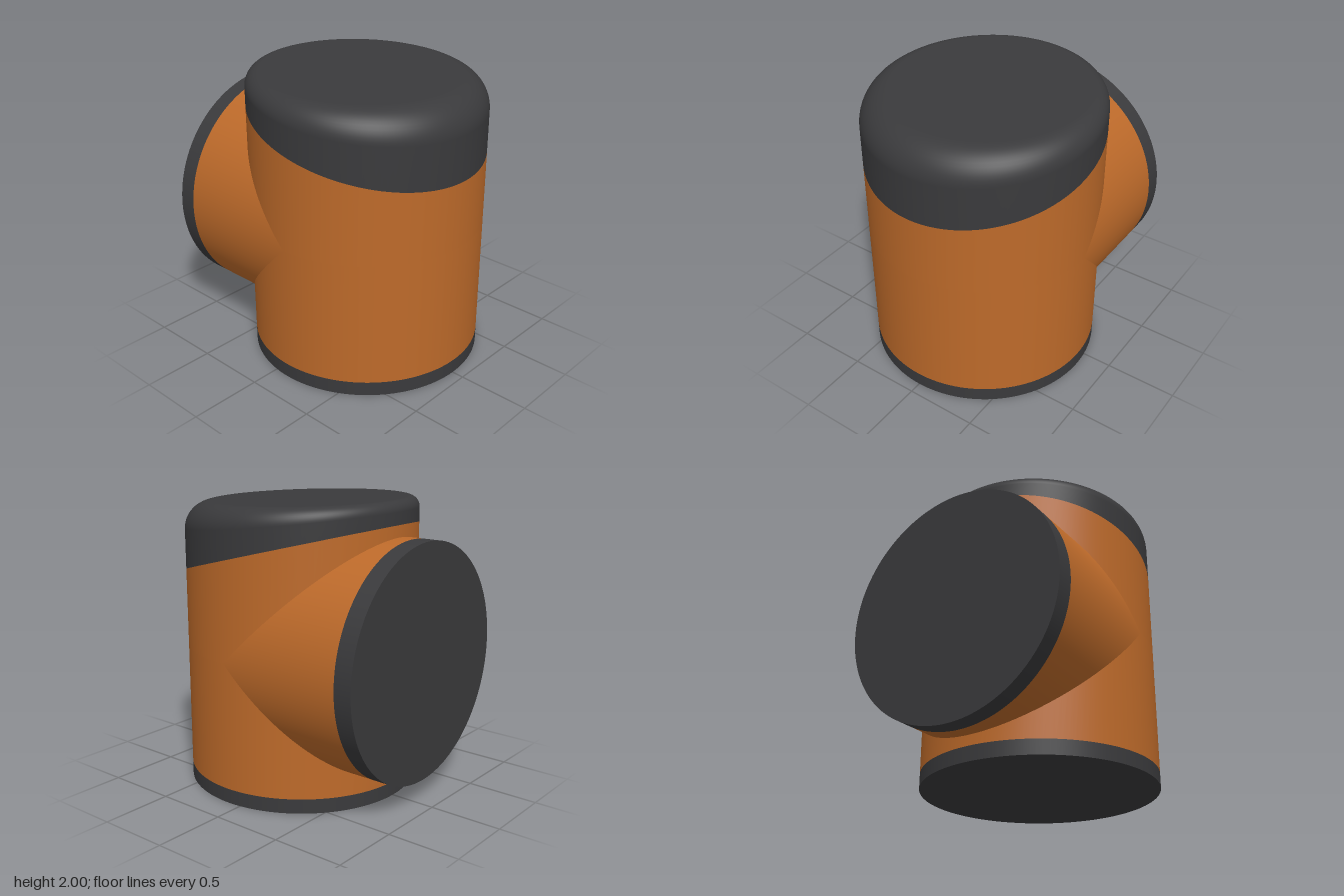
import * as THREE from 'three';

const R = 0.8;        // radius shared by the body and the branch
const CZ = 0.115;     // z of the vertical axis
const CY = 0.97;      // height of the branch axis
const BACK = -0.915;  // rear end of the branch
const SEG = 128;

const orange = new THREE.MeshStandardMaterial({ color: 0xbd6a2a });
const dark = new THREE.MeshStandardMaterial({ color: 0x3a3a3c });

// Skin a list of closed rings, each a function of the angle
function loft(rings) {
  const pos = [], idx = [];
  rings.forEach((ring, i) => {
    for (let j = 0; j < SEG; j++) {
      pos.push(...ring((j / SEG) * Math.PI * 2));
      if (i === 0) continue;
      const k = (j + 1) % SEG;
      const a = (i - 1) * SEG + j, b = (i - 1) * SEG + k;
      const c = i * SEG + k, d = i * SEG + j;
      idx.push(a, b, c, a, c, d);
    }
  });
  const geo = new THREE.BufferGeometry();
  geo.setAttribute('position', new THREE.Float32BufferAttribute(pos, 3));
  geo.setIndex(idx);
  geo.computeVertexNormals();
  return geo;
}

// Point on a horizontal ring, with the height as a function of z and angle
const ringAt = (radius, height) => (t) => {
  const r = typeof radius === 'function' ? radius(t) : radius;
  const z = CZ + r * Math.cos(t);
  return [r * Math.sin(t), height(z, t), z];
};

export function createModel() {
  const model = new THREE.Group();
  const add = (name, geo, mat, parent = model) => {
    const mesh = new THREE.Mesh(geo, mat);
    mesh.name = name;
    parent.add(mesh);
    return mesh;
  };

  const seamY = (z) => 1.67 - 0.2625 * z;   // slanted lower edge of the lid
  const topY = (z) => 1.98 - 0.033 * z;     // gently slanted lid top
  const opening = (t) => Math.max(0, -R * Math.cos(t));

  // Base band
  add('baseBand', new THREE.CylinderGeometry(R, R, 0.1, SEG).translate(0, 0.05, CZ), dark);

  // Body wall, left open where the branch joins at the back
  const body = new THREE.Group();
  body.name = 'body';
  model.add(body);
  add('lowerWall', loft([
    ringAt(R, () => 0.1),
    ringAt(R, (z, t) => CY - opening(t)),
  ]), orange, body);
  add('upperWall', loft([
    ringAt(R, (z, t) => CY + opening(t)),
    ringAt(R, (z) => seamY(z)),
  ]), orange, body);

  // Lid: slanted skirt, edge rounding that widens to the front, flat top
  const fillet = (t) => 0.14 + 0.07 * Math.cos(t);
  const lidRings = [ringAt(R, (z) => seamY(z))];
  for (let i = 0; i <= 12; i++) {
    const a = (i / 12) * Math.PI / 2;
    lidRings.push(ringAt(
      (t) => R - fillet(t) * (1 - Math.cos(a)),
      (z, t) => topY(z) - fillet(t) * (1 - Math.sin(a)),
    ));
  }
  lidRings.push(ringAt(0.3, (z) => topY(z)), ringAt(0, (z) => topY(z)));
  add('lid', loft(lidRings), dark);

  // Branch to the rear, mitred against the body
  const branchRing = (depth) => (t) => [R * Math.sin(t), CY + R * Math.cos(t), depth(t)];
  add('branch', loft([
    branchRing((t) => CZ - R * Math.abs(Math.cos(t))),
    branchRing(() => BACK + 0.125),
  ]), orange);

  // End band of the branch
  const band = new THREE.CylinderGeometry(R, R, 0.125, SEG);
  band.rotateX(Math.PI / 2).translate(0, CY, BACK + 0.0625);
  add('branchBand', band, dark);

  return model;
}
